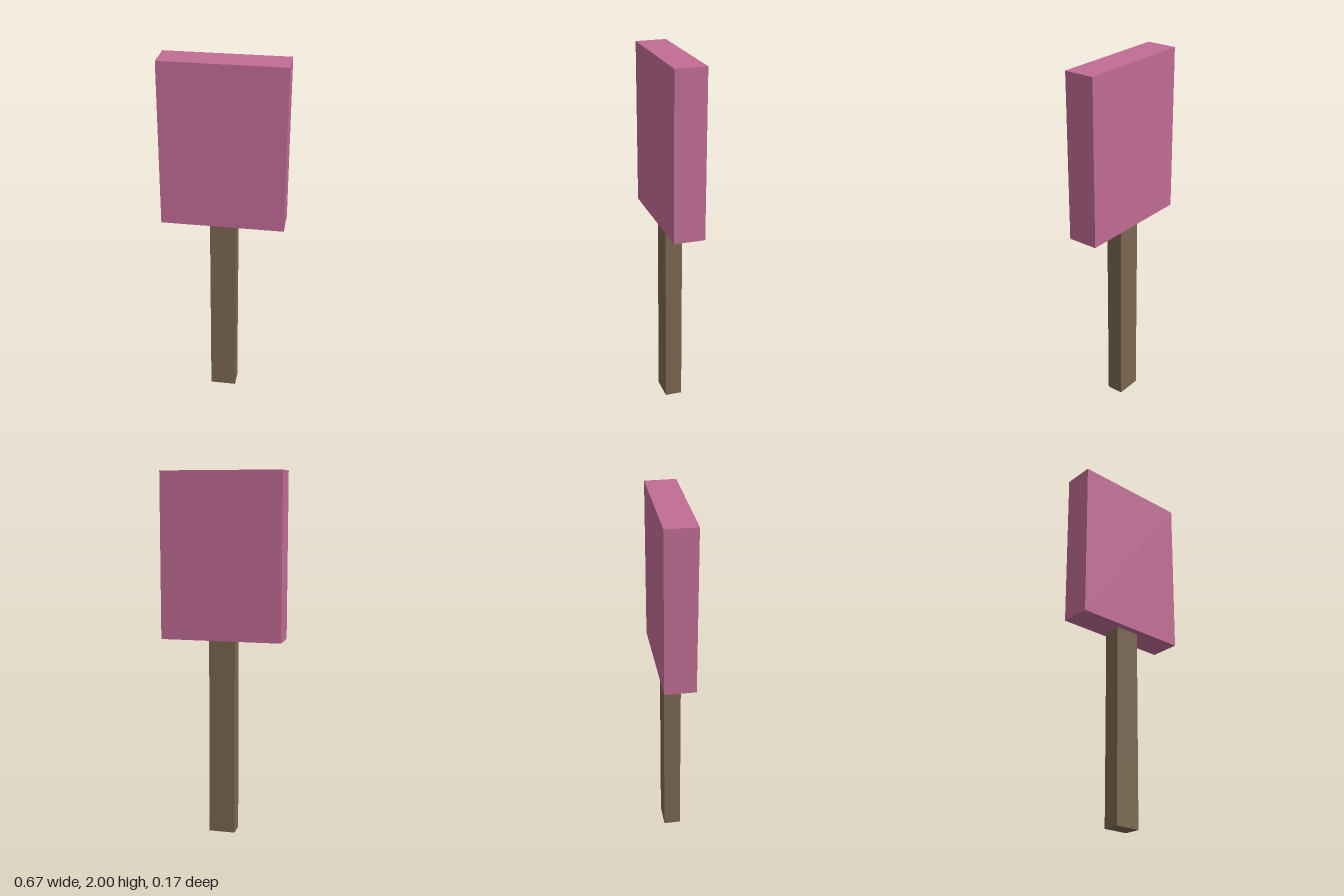
import * as THREE from 'three';

// Box standing between two heights, centred on x and z
function block(name, width, depth, bottom, top, color) {
  const mesh = new THREE.Mesh(
    new THREE.BoxGeometry(width, top - bottom, depth),
    new THREE.MeshStandardMaterial({ color })
  );
  mesh.name = name;
  mesh.position.y = (bottom + top) / 2;
  return mesh;
}

export function createModel() {
  const group = new THREE.Group();
  group.name = 'icePop';

  // Wooden stick carrying the frozen slab
  group.add(block('stick', 0.144, 0.094, 0, 1.095, 0x7a6650));
  group.add(block('iceSlab', 0.666, 0.17, 1.095, 2, 0xc06c94));

  return group;
}
